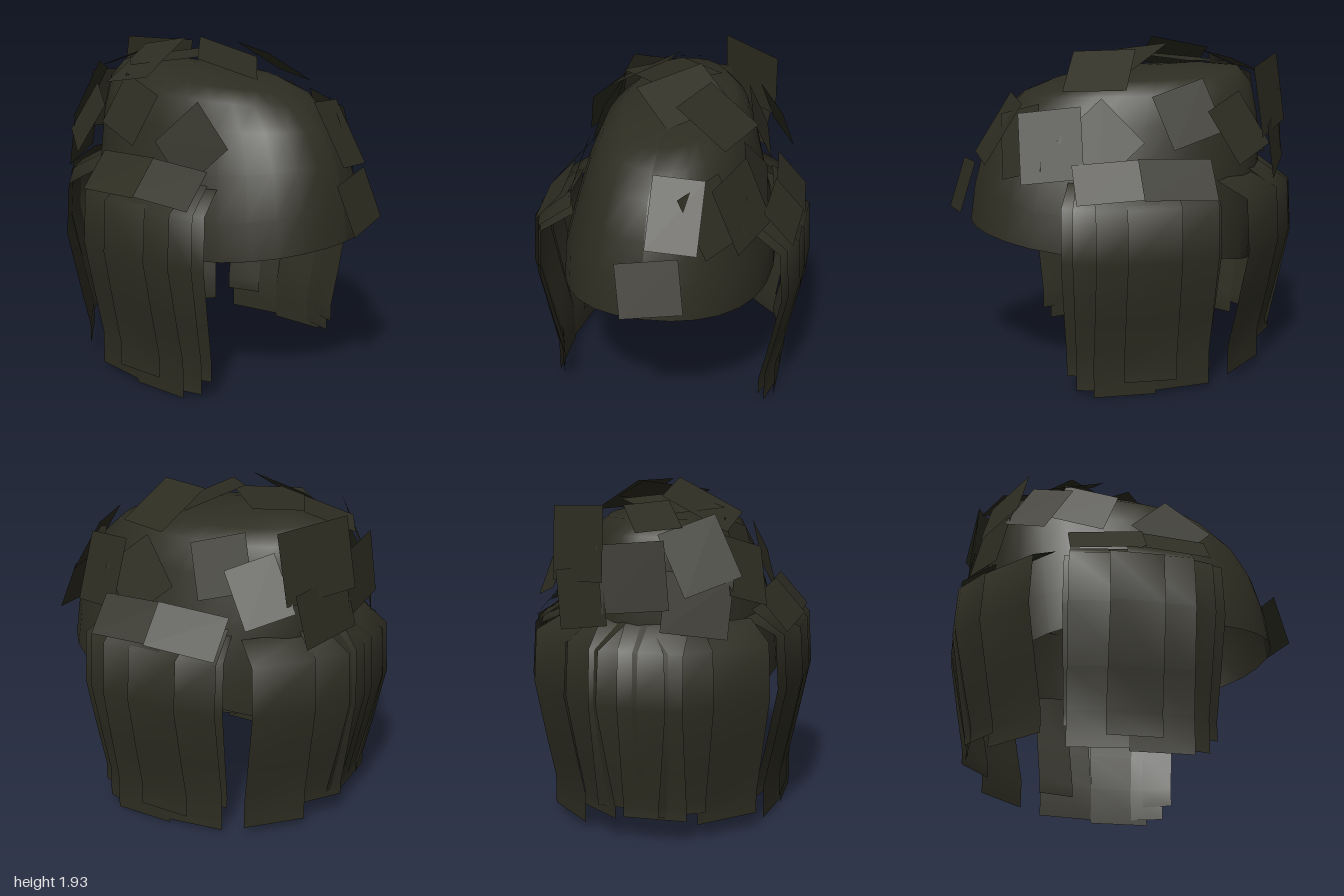
import * as THREE from 'three';

const hair = new THREE.MeshStandardMaterial({ color: 0x2e2d22, side: THREE.DoubleSide });
hair.name = 'dark olive hair';

// Indexed surface from rows of points
function gridSurface(name, rows) {
  const n = rows[0].length, index = [];
  for (let r = 0; r < rows.length - 1; r++) {
    for (let i = 0; i < n - 1; i++) {
      const a = r * n + i, b = a + 1, c = a + n, d = c + 1;
      index.push(a, b, d, a, d, c);
    }
  }
  const geo = new THREE.BufferGeometry();
  geo.setAttribute('position', new THREE.Float32BufferAttribute(rows.flat(2), 3));
  geo.setIndex(index);
  geo.computeVertexNormals();
  const mesh = new THREE.Mesh(geo, hair);
  mesh.name = name;
  return mesh;
}

// Open dome with a curved rim; each ring: front z, back z, half width, front y, side y, back y
function scalpCap() {
  const rings = [
    [0.89, -0.78, 0.61, 0.885, 0.79, 0.62],
    [0.86, -0.81, 0.6, 1.1, 1.0, 0.9],
    [0.8, -0.82, 0.53, 1.32, 1.26, 1.2],
    [0.7, -0.81, 0.465, 1.5, 1.49, 1.48],
    [0.57, -0.77, 0.4, 1.62, 1.65, 1.67],
    [0.42, -0.7, 0.31, 1.68, 1.72, 1.755],
    [0.1, -0.5, 0.14, 1.74, 1.76, 1.775],
    [-0.2, -0.2, 0, 1.77, 1.77, 1.77],
  ];
  const round = (v) => Math.sign(v) * Math.abs(v) ** 0.92;
  const rows = rings.map(([f, b, w, yf, ys, yb]) => {
    const row = [];
    for (let i = 0; i <= 28; i++) {
      const a = (i / 28) * Math.PI * 2;
      const c = round(Math.cos(a)), s = round(Math.sin(a));
      row.push([w * s, ys + c * c * ((c > 0 ? yf : yb) - ys), (f + b) / 2 + (c * (f - b)) / 2]);
    }
    return row;
  });
  return gridSurface('scalpCap', rows);
}

// Hanging strip between two ground points, bulging outward, its root bent in to the cap
function lock(name, [x1, z1, x2, z2, bottom, top]) {
  const out = new THREE.Vector2(z1 - z2, x2 - x1).normalize();
  if (out.x * (x1 + x2) + out.y * (z1 + z2) < 0) out.negate();
  const profile = [[bottom, 0], [0.22, 0], [0.45, 0.05], [0.8, 0.12], [1.1, 0.1], [top, -0.09]];
  const rows = profile.map(([y, o]) => [
    [x1 + out.x * o, y, z1 + out.y * o],
    [x2 + out.x * o, y, z2 + out.y * o],
  ]);
  return gridSurface(name, rows);
}

// Flat square tuft: position, facing direction, width, height, roll
function tuft(name, [x, y, z, nx, ny, nz, w, h, roll]) {
  const mesh = new THREE.Mesh(new THREE.PlaneGeometry(w, h), hair);
  mesh.name = name;
  mesh.position.set(x, y, z);
  mesh.lookAt(x + nx, y + ny, z + nz);
  mesh.rotateZ(roll);
  return mesh;
}

export function createModel() {
  const model = new THREE.Group();
  model.name = 'layeredHair';
  model.add(scalpCap());

  // Side locks, the same on both sides
  const sideLocks = [
    [0.59, 0.41, 0.65, 0.24, 0.11, 1.2],
    [0.62, 0.36, 0.67, 0.17, 0.03, 1.22],
    [0.67, 0.27, 0.67, -0.08, 0, 1.25],
    [0.68, 0.1, 0.68, -0.2, 0.08, 1.2],
    [0.67, -0.08, 0.62, -0.4, 0.02, 1.23],
    [0.64, -0.2, 0.58, -0.41, 0.15, 1.18],
  ];
  // Tufts over the temples and the roots of the side locks
  const sideTufts = [
    [0.51, 1.42, 0.2, 1, 0.35, 0.1, 0.34, 0.34, 0.75],
    [0.46, 1.55, -0.3, 1, 0.4, -0.1, 0.32, 0.32, 0.3],
    [0.67, 1.23, 0.17, 1, 0.9, 0.1, 0.4, 0.25, 0.08],
    [0.67, 1.23, -0.2, 1, 0.9, -0.15, 0.42, 0.26, -0.08],
    [0.53, 1.48, -0.57, 0.85, 0.45, -0.45, 0.28, 0.34, 0.35],
  ];
  for (const s of [1, -1]) {
    const side = s > 0 ? 'left' : 'right';
    for (const [x1, z1, x2, z2, b, t] of sideLocks) {
      model.add(lock(side + 'SideLock', [s * x1, z1, s * x2, z2, b, t]));
    }
    for (const [x, y, z, nx, ny, nz, w, h, roll] of sideTufts) {
      model.add(tuft(side + 'SideTuft', [s * x, y, z, s * nx, ny, nz, w, h, s * roll]));
    }
  }

  // Back locks
  const backLocks = [
    [0.58, -0.52, 0.32, -0.77, 0.05, 1.18],
    [0.33, -0.74, 0.11, -0.9, 0.145, 1.22],
    [0.22, -0.86, -0.05, -0.88, 0.2, 1.23],
    [0.07, -0.88, -0.28, -0.87, 0.15, 1.23],
    [-0.13, -0.9, -0.36, -0.76, 0.17, 1.2],
    [-0.32, -0.78, -0.6, -0.53, 0.1, 1.2],
  ];
  for (const l of backLocks) model.add(lock('backLock', l));

  // Tufts over the forehead and crown
  const crownTufts = [
    [0.05, 1.11, 0.935, 0.1, 0.35, 1, 0.34, 0.3, 0.12],
    [0.15, 1.45, 0.73, 0.2, 0.62, 1, 0.28, 0.4, -0.12],
    [0.33, 1.4, 0.62, 0.7, 0.35, 0.8, 0.28, 0.38, 0.3],
    [0.47, 1.4, 0.47, 0.85, 0.35, 0.4, 0.36, 0.4, 0.15],
    [-0.08, 1.8, -0.36, -0.05, 1, -0.1, 0.42, 0.42, 0.3],
    [-0.25, 1.8, -0.36, -0.45, 0.85, -0.2, 0.34, 0.4, 0.4],
    [0.06, 1.81, 0, 0.1, 1, 0.4, 0.42, 0.36, 0.45],
    [0.28, 1.78, 0.17, 0.5, 0.9, 0.25, 0.36, 0.36, 0.1],
    [-0.05, 1.77, -0.69, -0.1, 0.9, -0.35, 0.25, 0.3, 0.2],
  ];
  for (const t of crownTufts) model.add(tuft('crownTuft', t));

  // Tufts standing off the back of the cap
  const backTufts = [
    [0.33, 1.63, -0.8, 0.55, 0.12, -0.8, 0.42, 0.4, 0.1],
    [0.3, 1.35, -0.85, 0.45, 0.1, -0.9, 0.34, 0.32, 0.2],
    [0, 1.48, -0.91, 0, 0.1, -1, 0.36, 0.36, 0.1],
    [-0.32, 1.58, -0.75, -0.45, 0.4, -0.8, 0.34, 0.36, 0.3],
    [-0.32, 1.33, -0.82, -0.4, 0.2, -0.9, 0.36, 0.32, -0.15],
  ];
  for (const t of backTufts) model.add(tuft('backTuft', t));
  return model;
}
